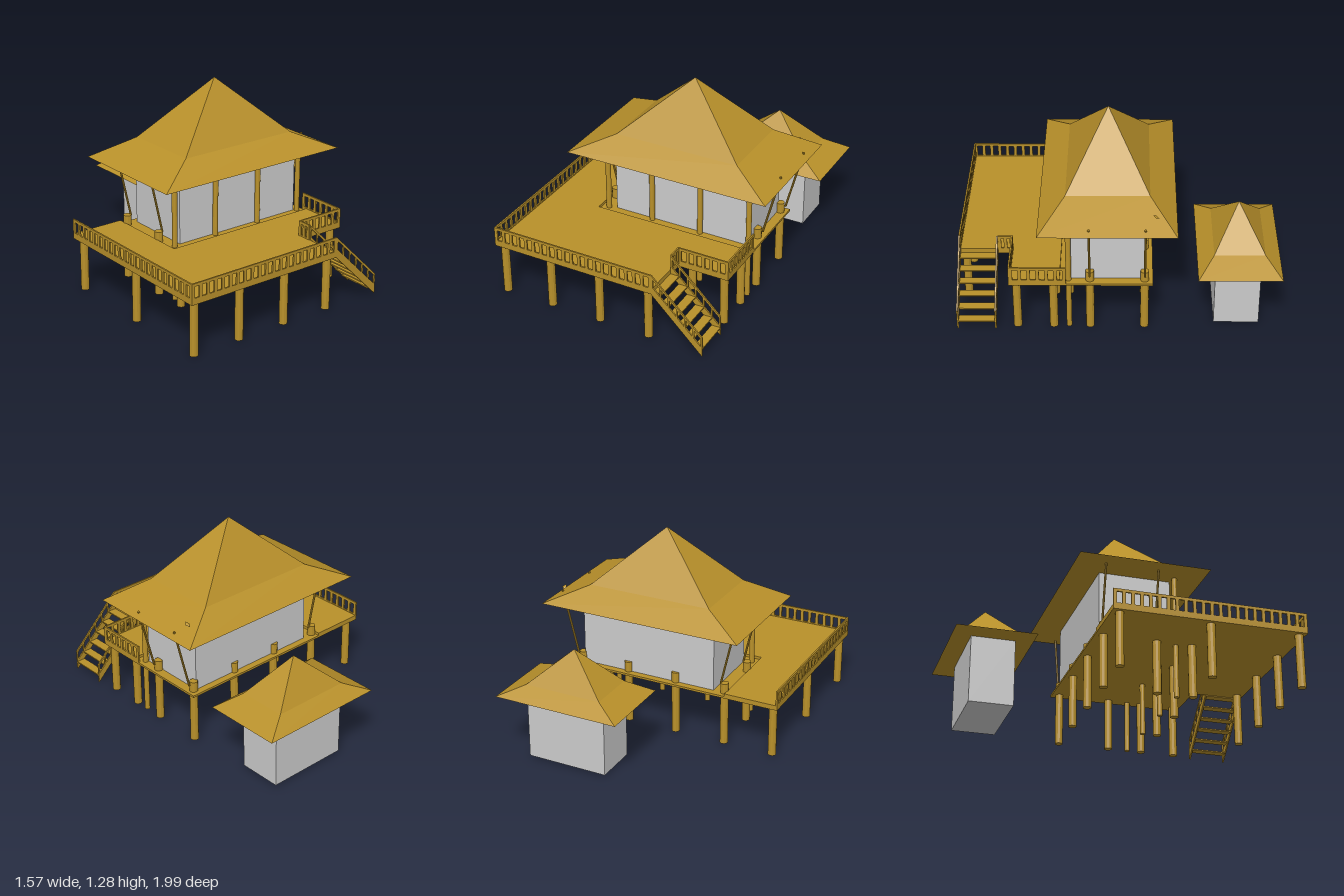
import * as THREE from 'three';

const WOOD = new THREE.MeshStandardMaterial({ color: 0xb8902a, flatShading: true });
const WALL = new THREE.MeshStandardMaterial({ color: 0xcccccc, flatShading: true });

export function createModel() {
  const model = new THREE.Group();

  const add = (name, geometry, material = WOOD, parent = model) => {
    const mesh = new THREE.Mesh(geometry, material);
    mesh.name = name;
    parent.add(mesh);
    return mesh;
  };
  const group = (name) => {
    const g = new THREE.Group();
    g.name = name;
    model.add(g);
    return g;
  };
  // Box given by its lower and upper corners
  const box = (name, [x0, y0, z0], [x1, y1, z1], material, parent) => {
    const g = new THREE.BoxGeometry(x1 - x0, y1 - y0, z1 - z0);
    g.translate((x0 + x1) / 2, (y0 + y1) / 2, (z0 + z1) / 2);
    return add(name, g, material, parent);
  };
  // Round bar between two points
  const bar = (name, a, b, radius, parent, sides = 12) => {
    const p = new THREE.Vector3(...a), q = new THREE.Vector3(...b);
    const mesh = add(name, new THREE.CylinderGeometry(radius, radius, p.distanceTo(q), sides), WOOD, parent);
    mesh.position.copy(p).add(q).multiplyScalar(0.5);
    mesh.quaternion.setFromUnitVectors(new THREE.Vector3(0, 1, 0), q.clone().sub(p).normalize());
    return mesh;
  };
  // Flat slab from a plan outline of [x, z] points
  const slab = (name, outline, y, thickness) => {
    const shape = new THREE.Shape(outline.map(([x, z]) => new THREE.Vector2(x, -z)));
    const g = new THREE.ExtrudeGeometry(shape, { depth: thickness, bevelEnabled: false });
    g.rotateX(-Math.PI / 2).translate(0, y, 0);
    return add(name, g);
  };
  // Hipped roof with a steep crown and flared eaves
  const roof = (name, cx, cz, hx, hz, eave, kink, apex) => {
    const rings = [[1, eave], [0.61, kink], [0, apex]];
    const corners = [[-1, 1], [1, 1], [1, -1], [-1, -1]];
    const at = (c, [s, y]) => [cx + c[0] * hx * s, y, cz + c[1] * hz * s];
    const v = [];
    corners.forEach((c, i) => {
      const d = corners[(i + 1) % 4];
      v.push(at(c, rings[0]), at(d, rings[0]), at(d, rings[1]));
      v.push(at(c, rings[0]), at(d, rings[1]), at(c, rings[1]));
      v.push(at(c, rings[1]), at(d, rings[1]), at(c, rings[2]));
    });
    const [a, b, c, d] = corners.map((k) => at(k, rings[0]));
    v.push(a, c, b, a, d, c);
    const g = new THREE.BufferGeometry();
    g.setAttribute('position', new THREE.Float32BufferAttribute(v.flat(), 3));
    g.computeVertexNormals();
    return add(name, g);
  };

  // Main house and the outbuilding behind it
  box('houseWalls', [-0.335, 0.35, -0.175], [0.585, 0.795, 0.28], WALL);
  roof('houseRoof', 0.105, 0.055, 0.678, 0.415, 0.79, 0.91, 1.285);
  box('outbuildingWalls', [0.05, 0.01, -0.88], [0.58, 0.445, -0.6], WALL);
  roof('outbuildingRoof', 0.318, -0.745, 0.413, 0.255, 0.44, 0.515, 0.74);

  // Deck: a base floor, and a raised terrace around the house front and side
  slab('deckFloor', [[-0.785, 0.99], [0.31, 0.99], [0.31, 0.65], [0.645, 0.65], [0.645, -0.22], [-0.785, -0.22]], 0.338, 0.014);
  slab('terrace', [[-0.785, 0.99], [0.31, 0.99], [0.31, 0.65], [0.645, 0.65], [0.645, 0.35],
    [-0.43, 0.35], [-0.43, -0.22], [-0.785, -0.22]], 0.352, 0.018);

  // Posts carrying the deck; some stand proud of the floor
  const posts = group('deckPosts');
  const LOW = 0.345, HIGH = 0.42;
  const columns = [-0.74, -0.41, -0.07, 0.267, 0.6];
  const post = (x, z, top) => bar('deckPost', [x, 0, z], [x, top, z], 0.026, posts);
  columns.forEach((x, i) => {
    if (i < 4) post(x, 0.95, LOW);
    post(x, 0.39, LOW);
    post(x, -0.17, i ? HIGH : LOW);
  });
  post(0.6, 0.615, LOW);
  for (const x of [-0.41, 0.6]) post(x, 0.165, HIGH);

  // Tall posts of the house front
  const tall = group('verandaPosts');
  for (const x of [-0.385, -0.07, 0.267, 0.6]) bar('verandaPost', [x, 0, 0.295], [x, 0.8, 0.295], 0.017, tall);

  // Slanted struts under the eaves
  const struts = group('roofStruts');
  for (const z of [0.165, -0.17]) {
    bar('leftStrut', [0.635, 0.4, z], [0.742, 0.82, z], 0.007, struts, 8);
    bar('rightStrut', [-0.383, 0.41, z], [-0.473, 0.8, z], 0.007, struts, 8);
  }

  // Small slanted diamond over the roof slope
  const diamond = add('roofOrnament', new THREE.OctahedronGeometry(0.018));
  diamond.scale.set(0.85, 0.2, 1.2);
  diamond.rotation.x = -0.55;
  diamond.position.set(0.688, 0.876, -0.233);

  // Straight railing run between two plan points
  const railing = (name, [x0, z0], [x1, z1]) => {
    const g = group(name);
    const length = Math.hypot(x1 - x0, z1 - z0);
    const T = 0.01;
    box('topRail', [0, 0.45, -T / 2], [length, 0.468, T / 2], WOOD, g);
    box('bottomRail', [0, 0.338, -T / 2], [length, 0.378, T / 2], WOOD, g);
    const n = Math.max(1, Math.round(length / 0.0545));
    for (let i = 0; i <= n; i++) {
      const x = 0.0105 + (length - 0.021) * i / n;
      box('baluster', [x - 0.0105, 0.378, -T / 2], [x + 0.0105, 0.45, T / 2], WOOD, g);
    }
    g.position.set(x0, 0, z0);
    g.rotation.y = -Math.atan2(z1 - z0, x1 - x0);
  };
  railing('frontRailing', [-0.785, 0.985], [0.31, 0.985]);
  railing('rightRailing', [-0.78, -0.22], [-0.78, 0.99]);
  railing('stairSideRailing', [0.31, 0.65], [0.31, 0.745]);
  railing('cornerRailing', [0.31, 0.655], [0.645, 0.655]);
  railing('leftRailing', [0.64, 0.31], [0.64, 0.655]);

  // Stairs descending towards +x, with a stringer and handrail on each side
  const stairs = group('stairs');
  const X0 = 0.31, X1 = 0.645;
  const slope = (y0, y1, height, z, name) => {
    const shape = new THREE.Shape([[X0, y0], [X1, y1], [X1, y1 + height], [X0, y0 + height]]
      .map((p) => new THREE.Vector2(...p)));
    const g = new THREE.ExtrudeGeometry(shape, { depth: 0.01, bevelEnabled: false });
    add(name, g.translate(0, 0, z), WOOD, stairs);
  };
  for (const z of [0.745, 0.98]) {
    slope(0.335, 0.005, 0.06, z, 'stringer');
    slope(0.45, 0.12, 0.018, z, 'handrail');
    for (let i = 0; i <= 6; i++) {
      const x = X0 + 0.005 + (X1 - X0 - 0.01) * i / 6;
      const y = 0.335 - (x - X0) * 0.985;
      box('stairBaluster', [x - 0.005, y + 0.05, z], [x + 0.005, y + 0.122, z + 0.01], WOOD, stairs);
    }
  }
  for (let i = 0; i < 6; i++) {
    const x = X0 + 0.0555 * i, y = 0.34 - 0.056 * i;
    box('tread', [x, y - 0.008, 0.75], [x + 0.058, y, 0.985], WOOD, stairs);
  }

  return model;
}
